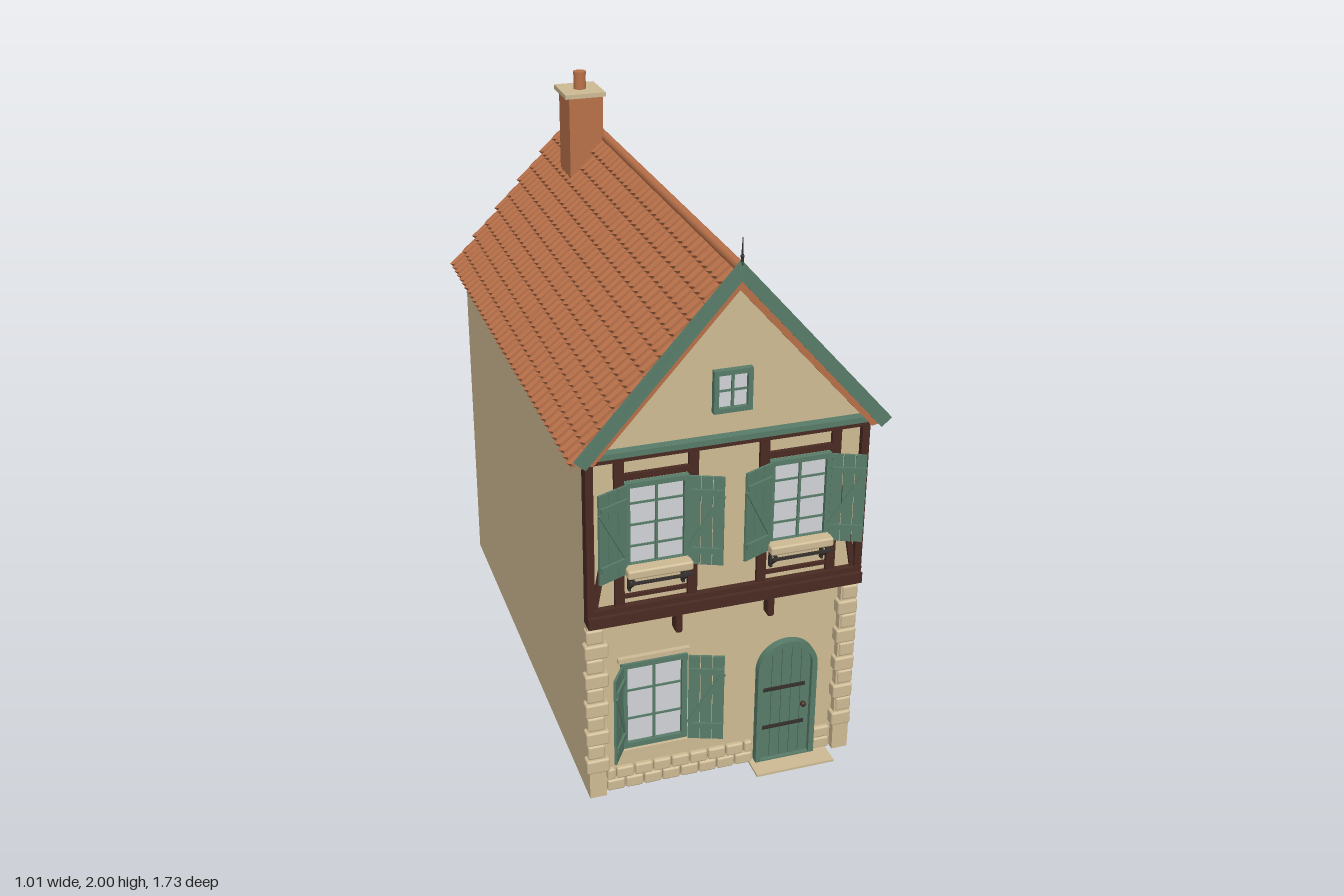
import * as THREE from 'three';
import { toCreasedNormals } from 'three/addons/utils/BufferGeometryUtils.js';
import { RoundedBoxGeometry } from 'three/addons/geometries/RoundedBoxGeometry.js';

const mat = (name, color) => Object.assign(new THREE.MeshStandardMaterial({ color }), { name });
const plaster = mat('plaster', 0xcfbb93);
const stone = mat('stone', 0xcdba94);
const tile = mat('tile', 0xb87049);
const green = mat('greenPaint', 0x587c69);
const timber = mat('timber', 0x4a2a22);
const glass = mat('glass', 0xd0d3d6);
const iron = mat('iron', 0x35302d);

const SLOPE = 1.134; // roof rise per unit of half width

function add(parent, name, geometry, material, x = 0, y = 0, z = 0) {
  const m = new THREE.Mesh(geometry, material);
  m.name = name;
  m.position.set(x, y, z);
  parent.add(m);
  return m;
}
// box given by its limits
function box(parent, name, material, x0, x1, y0, y1, z0, z1) {
  return add(parent, name, new THREE.BoxGeometry(x1 - x0, y1 - y0, z1 - z0), material,
    (x0 + x1) / 2, (y0 + y1) / 2, (z0 + z1) / 2);
}
function block(parent, name, x0, x1, y0, y1, z0, z1) {
  return add(parent, name, new RoundedBoxGeometry(x1 - x0, y1 - y0, z1 - z0, 2, 0.007), stone,
    (x0 + x1) / 2, (y0 + y1) / 2, (z0 + z1) / 2);
}
// straight bar in a plane facing the front
function bar(parent, name, material, a, b, width, z0, z1) {
  const dx = b[0] - a[0], dy = b[1] - a[1];
  const m = add(parent, name, new THREE.BoxGeometry(Math.hypot(dx, dy), width, z1 - z0), material,
    (a[0] + b[0]) / 2, (a[1] + b[1]) / 2, (z0 + z1) / 2);
  m.rotation.z = Math.atan2(dy, dx);
  return m;
}
const poly = pts => new THREE.Shape(pts.map(p => new THREE.Vector2(p[0], p[1])));
const rect = (x0, x1, y0, y1) => poly([[x0, y0], [x1, y0], [x1, y1], [x0, y1]]);
function extrude(parent, name, material, shape, z0, z1) {
  const g = new THREE.ExtrudeGeometry(shape, { depth: z1 - z0, bevelEnabled: false, curveSegments: 16 });
  return add(parent, name, g, material, 0, 0, z0);
}
// closed roof-shaped band: right half outline, top to bottom, mirrored
function chevron(outer, inner) {
  const flip = p => [-p[0], p[1]];
  return poly([...outer, ...[...inner].reverse(), ...inner.slice(1).map(flip), ...[...outer].reverse().slice(0, -1).map(flip)]);
}

// overlapping rows of wavy tiles on the +x slope
function tileSlope(length, rows, cols) {
  const pos = [], idx = [], seg = cols * 6, run = 0.487;
  const k = Math.hypot(1, SLOPE), nx = SLOPE / k, ny = 1 / k;
  for (let r = 0; r < rows; r++) {
    const start = pos.length / 3;
    const lines = [[r / rows, 0.002, 0], [(r + 1) / rows, 0.012, 1], [(r + 1) / rows, -0.004, 1]];
    lines.forEach(([t, h, low], j) => {
      for (let i = 0; i <= seg; i++) {
        const w = Math.cos((i / 6 + (r % 2) * 0.5) * Math.PI * 2);
        const x = t * run + low * 0.004 * w, lift = h + (j < 2 ? 0.0035 * w : 0);
        pos.push(x + nx * lift, 1.775 - SLOPE * x + ny * lift, length * (0.5 - i / seg));
      }
    });
    for (let j = 0; j < 2; j++) for (let i = 0; i < seg; i++) {
      const a = start + j * (seg + 1) + i, b = a + 1, c = a + seg + 1, d = c + 1;
      idx.push(a, c, b, b, c, d);
    }
  }
  const g = new THREE.BufferGeometry();
  g.setAttribute('position', new THREE.Float32BufferAttribute(pos, 3));
  g.setIndex(idx);
  return toCreasedNormals(g, 0.7);
}

// glazed window with frame and glazing bars
function casement(parent, name, x0, x1, y0, y1, z, cols, rows, f) {
  const g = new THREE.Group();
  g.name = name;
  parent.add(g);
  const frame = rect(x0, x1, y0, y1);
  frame.holes.push(rect(x0 + f, x1 - f, y0 + f, y1 - f));
  extrude(g, 'windowFrame', green, frame, z - 0.005, z + 0.018);
  box(g, 'windowGlass', glass, x0 + f, x1 - f, y0 + f, y1 - f, z - 0.005, z + 0.004);
  for (let i = 1; i < cols; i++) {
    const x = x0 + (x1 - x0) * i / cols;
    box(g, 'mullion', green, x - 0.004, x + 0.004, y0 + f, y1 - f, z, z + 0.011);
  }
  for (let i = 1; i < rows; i++) {
    const y = y0 + (y1 - y0) * i / rows;
    box(g, 'glazingBar', green, x0 + f, x1 - f, y - 0.003, y + 0.003, z, z + 0.009);
  }
}

// plank shutter, hinged at x and swung forward; dir is the side it opens to
function shutter(parent, x, y, z, w, h, dir, angle) {
  const g = new THREE.Group();
  g.name = 'shutter';
  g.position.set(x, y, z);
  g.rotation.y = -dir * angle;
  parent.add(g);
  for (let i = 0; i < 3; i++) {
    const c = dir * w * (i + 0.5) / 3;
    box(g, 'shutterPlank', green, c - w / 6 + 0.001, c + w / 6 - 0.001, 0, h, 0, 0.008);
  }
  const a = dir * 0.004, b = dir * (w - 0.004);
  for (const t of [0.17, 0.83]) bar(g, 'shutterBatten', green, [a, h * t], [b, h * t], 0.02, 0.007, 0.015);
  bar(g, 'shutterBrace', green, [a, h * 0.2], [b, h * 0.8], 0.016, 0.007, 0.013);
}

export function createModel() {
  const house = new THREE.Group();
  house.name = 'townHouse';

  // walls, hollow towards the back
  const plan = rect(-0.445, 0.445, -0.77, 0.855);
  plan.holes.push(rect(-0.395, 0.395, -0.215, 0.795));
  extrude(house, 'mainWalls', plaster, plan, 0, 1.22).rotation.x = -Math.PI / 2;
  extrude(house, 'gable', plaster,
    poly([[-0.445, 1.22], [0.445, 1.22], [0.445, 1.247], [0, 1.752], [-0.445, 1.247]]), -0.855, 0.8);
  box(house, 'upperFrontWall', plaster, -0.444, 0.444, 0.65, 1.22, 0.76, 0.79);

  // roof
  extrude(house, 'roofDeck', tile,
    chevron([[0, 1.775], [0.478, 1.775 - SLOPE * 0.478]], [[0, 1.753], [0.468, 1.753 - SLOPE * 0.468]]), -0.86, 0.85);
  const slope = tileSlope(1.712, 11, 40);
  for (const turn of [0, Math.PI]) add(house, 'roofTiles', slope, tile, 0, 0, -0.004).rotation.y = turn;
  add(house, 'ridge', new THREE.CylinderGeometry(0.016, 0.016, 1.72, 12), tile, 0, 1.778, -0.008).rotation.x = Math.PI / 2;
  extrude(house, 'bargeboard', green,
    chevron([[0, 1.802], [0.49, 1.25]], [[0, 1.742], [0.458, 1.222]]), 0.849, 0.862);
  extrude(house, 'vergeBoard', tile,
    chevron([[0, 1.75], [0.46, 1.23]], [[0, 1.712], [0.432, 1.225]]), 0.798, 0.85);
  add(house, 'finial', new THREE.CylinderGeometry(0.001, 0.005, 0.08, 8), iron, 0, 1.83, 0.858);
  add(house, 'finialBall', new THREE.SphereGeometry(0.006, 8, 6), iron, 0, 1.815, 0.858);
  box(house, 'gableRail', green, -0.445, 0.445, 1.228, 1.246, 0.79, 0.83);

  // chimney
  box(house, 'chimneyStack', tile, -0.13, -0.01, 1.58, 1.925, -0.61, -0.475);
  box(house, 'chimneyCap', stone, -0.145, -0.002, 1.925, 1.94, -0.622, -0.465);
  add(house, 'chimneyPot', new THREE.CylinderGeometry(0.02, 0.022, 0.06, 16), tile, -0.073, 1.97, -0.543);
  add(house, 'chimneyPotRim', new THREE.CylinderGeometry(0.023, 0.023, 0.01, 16), tile, -0.073, 1.995, -0.543);

  // corner piers with alternating stones
  for (const s of [-1, 1]) {
    const lim = (a, b) => (s > 0 ? [a, b] : [-b, -a]);
    box(house, 'cornerPier', plaster, ...lim(0.39, 0.445), 0, 0.655, 0.76, 0.795);
    for (let i = 0; i < 10; i++) {
      const y = 0.1 + i * 0.054, outer = s > 0 ? 0.447 : 0.456 - (i % 2) * 0.006;
      block(house, 'quoin', ...lim(i % 2 ? 0.395 : 0.38, outer), y, y + 0.05, 0.765, 0.805 - (i % 2) * 0.004);
    }
  }
  // stone plinth beside the door
  for (const [x0, x1, n] of [[-0.385, 0.112, 8], [0.325, 0.385, 1]]) {
    const w = (x1 - x0) / n;
    for (let row = 0; row < 2; row++) for (let i = 0; i < n + (n > 1 ? row : 0); i++) {
      const shift = n > 1 ? row * 0.5 : 0;
      const a = Math.max(x0, x0 + (i - shift) * w), b = Math.min(x1, x0 + (i + 1 - shift) * w);
      block(house, 'plinthStone', a + 0.002, b - 0.002, 0.004 + row * 0.043, 0.045 + row * 0.043, 0.76, 0.785);
    }
  }

  // timber frame
  box(house, 'floorBeam', timber, -0.447, 0.447, 0.655, 0.692, 0.77, 0.822);
  box(house, 'sillBeam', timber, -0.447, 0.447, 0.694, 0.712, 0.77, 0.812);
  box(house, 'topBeam', timber, -0.447, 0.447, 1.205, 1.228, 0.77, 0.81);
  for (const x of [-0.155, 0.148]) block(house, 'beamEnd', x - 0.011, x + 0.011, 0.58, 0.66, 0.765, 0.81).material = timber;
  for (const s of [-1, 1]) {
    box(house, 'cornerPost', timber, s * 0.435 - 0.012, s * 0.435 + 0.012, 0.71, 1.21, 0.77, 0.81);
    for (const x of [0.112, 0.343]) box(house, 'post', timber, s * x - 0.015, s * x + 0.015, 0.71, 1.21, 0.77, 0.803);
    bar(house, 'cornerBrace', timber, [s * 0.422, 0.71], [s * 0.37, 1.0], 0.018, 0.78, 0.801);
    const wx = s * 0.2275;
    box(house, 'headRail', timber, wx - 0.11, wx + 0.11, 1.138, 1.158, 0.77, 0.803);
    box(house, 'lowRail', timber, wx - 0.11, wx + 0.11, 0.733, 0.745, 0.77, 0.8);

    // upper windows with sills, brackets and shutters
    casement(house, 'upperWindow', wx - 0.1, wx + 0.1, 0.84, 1.13, 0.792, 2, 4, 0.016);
    block(house, 'upperSill', wx - 0.103, wx + 0.103, 0.825, 0.855, 0.785, 0.85);
    box(house, 'bracketRail', iron, wx - 0.1, wx + 0.1, 0.812, 0.82, 0.85, 0.858);
    for (const d of [-0.085, 0.085]) {
      box(house, 'bracketArm', iron, wx + d - 0.004, wx + d + 0.004, 0.812, 0.82, 0.79, 0.856);
      box(house, 'bracketPlate', iron, wx + d - 0.004, wx + d + 0.004, 0.76, 0.815, 0.79, 0.806);
      const strut = box(house, 'bracketStrut', iron, wx + d - 0.003, wx + d + 0.003, 0.789, 0.795, 0.795, 0.86);
      strut.rotation.x = -0.72;
    }
    for (const d of [-1, 1]) shutter(house, wx + d * 0.098, 0.83, 0.81, 0.107, 0.3, d, 0.4);
  }

  // ground floor window
  casement(house, 'groundWindow', -0.335, -0.12, 0.165, 0.485, 0.772, 2, 3, 0.018);
  box(house, 'groundSill', stone, -0.35, -0.1, 0.148, 0.165, 0.765, 0.8);
  box(house, 'groundLintel', stone, -0.345, -0.11, 0.487, 0.503, 0.765, 0.785);
  shutter(house, -0.33, 0.165, 0.775, 0.096, 0.315, -1, 1.0);
  shutter(house, -0.118, 0.165, 0.79, 0.115, 0.315, 1, 0.35);

  // attic window
  casement(house, 'atticWindow', -0.06, 0.06, 1.32, 1.455, 0.802, 2, 2, 0.015);

  // arched plank door
  const arch = (r, y0) => {
    const s = new THREE.Shape();
    s.moveTo(0.22 - r, y0);
    s.lineTo(0.22 + r, y0);
    s.absarc(0.22, 0.36, r, 0, Math.PI, false);
    return s;
  };
  const surround = arch(0.102, 0.008);
  surround.holes.push(arch(0.084, 0.012));
  extrude(house, 'doorFrame', green, surround, 0.76, 0.797);
  extrude(house, 'doorBacking', iron, arch(0.09, 0.01), 0.76, 0.774);
  for (let i = 0; i < 5; i++) {
    const a = -0.084 + i * 0.0336 + 0.001, b = a + 0.0316, pts = [[0.22 + a, 0.012], [0.22 + b, 0.012]];
    for (let k = 0; k <= 4; k++) {
      const x = b + (a - b) * k / 4;
      pts.push([0.22 + x, 0.36 + Math.sqrt(Math.max(0, 0.0845 ** 2 - x * x))]);
    }
    extrude(house, 'doorPlank', green, poly(pts), 0.77, 0.783);
  }
  for (const y of [0.135, 0.283]) box(house, 'doorStrap', iron, 0.138, 0.285, y - 0.006, y + 0.006, 0.78, 0.788);
  add(house, 'doorKnob', new THREE.SphereGeometry(0.01, 12, 8), timber, 0.28, 0.205, 0.792);
  box(house, 'doorStep', stone, 0.1, 0.37, 0, 0.008, 0.765, 0.858);

  return house;
}
